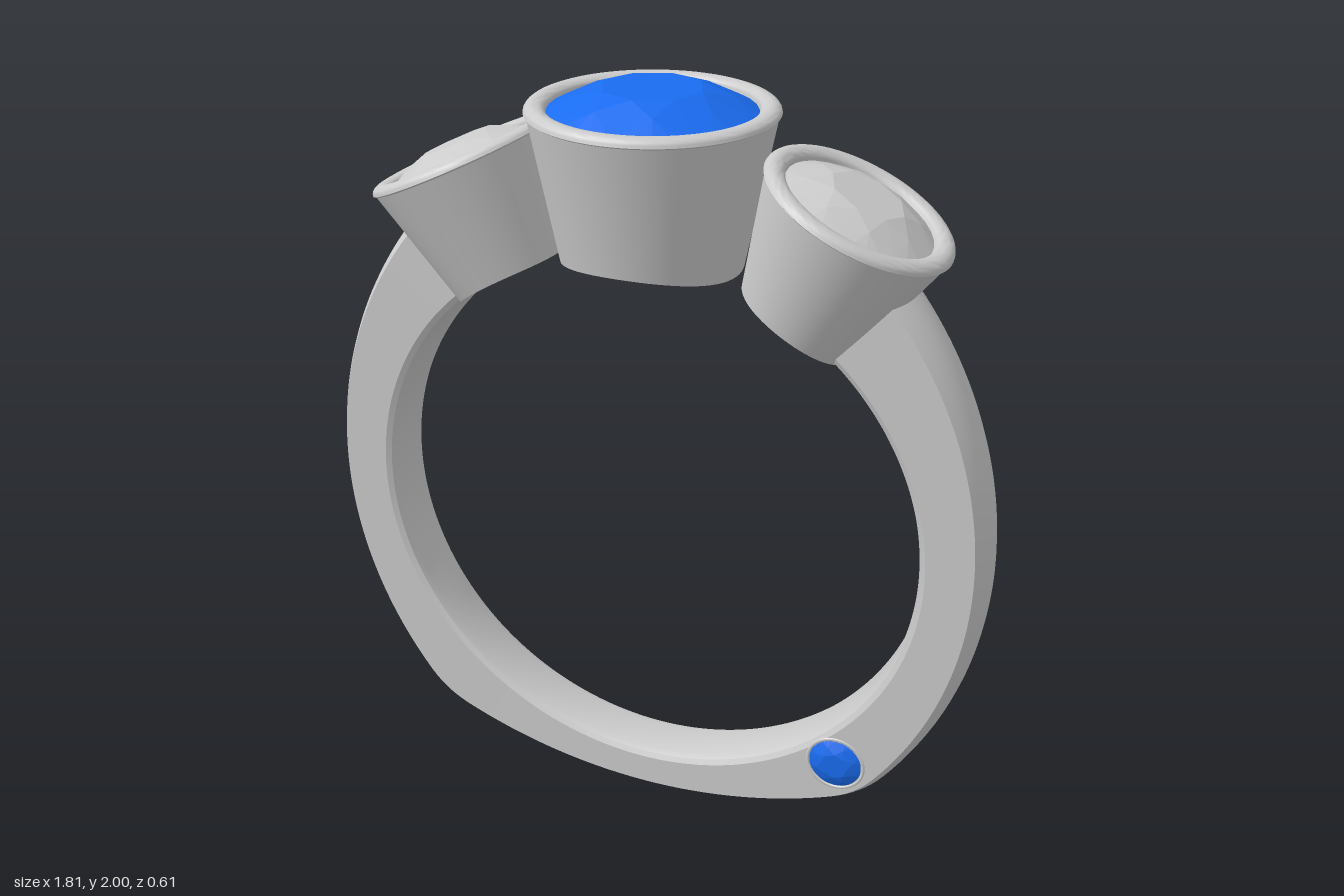
import * as THREE from 'three';
import { toCreasedNormals } from 'three/addons/utils/BufferGeometryUtils.js';
import { ConvexGeometry } from 'three/addons/geometries/ConvexGeometry.js';

const metal = new THREE.MeshStandardMaterial({ color: 0xcccccc });
const clear = new THREE.MeshStandardMaterial({ color: 0xcccccc, flatShading: true });
const blue = new THREE.MeshStandardMaterial({ color: 0x1a6cf0, flatShading: true });

const CENTRE = new THREE.Vector3(0, 0.87, 0); // centre of the finger hole
const INNER = 0.735; // radius of the finger hole

function named(name, geometry, material) {
  const mesh = new THREE.Mesh(geometry, material);
  mesh.name = name;
  return mesh;
}

// Distance from the hole centre to a circle (px, py, r) along the direction (dx, dy)
function reach(dx, dy, px, py, r) {
  const b = dx * px + dy * py;
  return b + Math.sqrt(b * b - px * px - py * py + r * r);
}

// Outer outline: bowed sides meeting a shallow base in softened corners
function outerRadius(angle) {
  const dx = Math.abs(Math.cos(angle)), dy = Math.sin(angle);
  const side = reach(dx, dy, -0.225, 0.015, 1.13);
  const base = reach(dx, dy, 0, 0.535, 1.405);
  const k = 0.03, h = Math.max(k - Math.abs(side - base), 0) / k;
  return Math.min(side, base) - h * h * k * 0.25;
}

const halfWidth = (y) => 0.08 + 0.0095 * y;

// Band section as [radius, z]: domed outside, flat sides, softened inner edges
function bandSection(outer, w) {
  const points = [];
  for (let i = 0; i <= 10; i++) {
    const s = 1 - i / 5;
    points.push([outer - 0.03 * s * s, w * s]);
  }
  const fillet = [[0.02, 0], [0.006, 0.008], [0, 0.025]];
  for (const [r, d] of fillet) points.push([INNER + r, d - w]);
  for (const [r, d] of fillet.slice().reverse()) points.push([INNER + r, w - d]);
  return points;
}

function bandGeometry() {
  const steps = 200, start = THREE.MathUtils.degToRad(50), sweep = THREE.MathUtils.degToRad(280);
  const positions = [], index = [];
  let n = 0;
  for (let i = 0; i <= steps; i++) {
    const a = start - (sweep * i) / steps;
    const outer = outerRadius(a);
    const section = bandSection(outer, halfWidth(CENTRE.y + outer * Math.sin(a)));
    n = section.length;
    for (const [r, z] of section) positions.push(r * Math.cos(a), CENTRE.y + r * Math.sin(a), z);
  }
  for (let i = 0; i < steps; i++) {
    for (let j = 0; j < n; j++) {
      const a = i * n + j, b = i * n + ((j + 1) % n);
      index.push(a, a + n, b, b, a + n, b + n);
    }
  }
  const geo = new THREE.BufferGeometry();
  geo.setAttribute('position', new THREE.Float32BufferAttribute(positions, 3));
  geo.setIndex(index);
  return toCreasedNormals(geo, 0.4);
}

// Round brilliant cut with its girdle at y = 0
function gemGeometry(r) {
  const points = [new THREE.Vector3(0, -0.8 * r, 0)];
  const ring = (count, radius, y, turn) => {
    for (let i = 0; i < count; i++) {
      const a = ((i + turn) / count) * Math.PI * 2;
      points.push(new THREE.Vector3(radius * Math.cos(a), y, radius * Math.sin(a)).multiplyScalar(r));
    }
  };
  ring(8, 0.5, 0.22, 0); // table
  ring(8, 0.75, 0.13, 0.5); // crown
  ring(32, 1, 0, 0); // girdle
  ring(32, 1, -0.06, 0);
  ring(8, 0.45, -0.5, 0.5); // pavilion
  return new ConvexGeometry(points);
}

// Tapered cup with rounded lip; its foot follows the finger hole.
// hole is the finger hole centre in the cup's own frame.
function bezelGeometry({ top, foot, gem, bore }, hole) {
  const FOOT = -0.5;
  const pts = [[bore, FOOT], [(bore + foot) / 2, FOOT], [foot, FOOT], [top - 0.006, -0.024]];
  for (let i = 0; i <= 10; i++) {
    const a = (i / 10) * Math.PI, half = (top - gem) / 2;
    pts.push([gem + half + half * Math.cos(a), -0.02 + 0.02 * Math.sin(a)]);
  }
  pts.push([gem, -0.04], [bore, -0.2], [bore, FOOT]);
  const geo = new THREE.LatheGeometry(pts.map(([x, y]) => new THREE.Vector2(x, y)), 72);
  const p = geo.attributes.position;
  for (let i = 0; i < p.count; i++) {
    if (p.getY(i) > FOOT + 0.01) continue;
    const d = p.getX(i) - hole.x;
    p.setY(i, hole.y + Math.sqrt(INNER * INNER - d * d));
  }
  return toCreasedNormals(geo, 0.6);
}

// Bezel and its stone, tilted about z
function setting(name, x, y, tilt, size, gemMaterial) {
  const group = new THREE.Group();
  group.name = name;
  group.position.set(x, y, 0);
  group.rotation.z = tilt;
  const hole = CENTRE.clone().sub(group.position).applyAxisAngle(new THREE.Vector3(0, 0, 1), -tilt);
  group.add(named(name + 'Bezel', bezelGeometry(size, hole), metal));
  const stone = named(name + 'Stone', gemGeometry(size.gem), gemMaterial);
  stone.position.y = -0.02;
  group.add(stone);
  return group;
}

export function createModel() {
  const model = new THREE.Group();
  model.name = 'threeStoneRing';
  model.add(named('band', bandGeometry(), metal));

  // Large centre setting and two smaller tilted ones
  model.add(setting('centre', 0, 1.965, 0, { top: 0.303, foot: 0.225, gem: 0.25, bore: 0.135 }, blue));
  const small = { top: 0.243, foot: 0.158, gem: 0.19, bore: 0.085 };
  for (const [name, s] of [['left', 1], ['right', -1]]) {
    model.add(setting(name, 0.52 * s, 1.788, -s * THREE.MathUtils.degToRad(25), small, clear));
  }

  // Small stone set into the front of the band's lower corner
  const accent = new THREE.Group();
  accent.name = 'accent';
  accent.position.set(0.56, 0.26, 0.08);
  const stone = named('accentStone', gemGeometry(0.075), blue);
  stone.rotation.x = Math.PI / 2;
  accent.add(stone, named('accentRim', new THREE.TorusGeometry(0.077, 0.005, 8, 40), metal));
  model.add(accent);
  return model;
}
